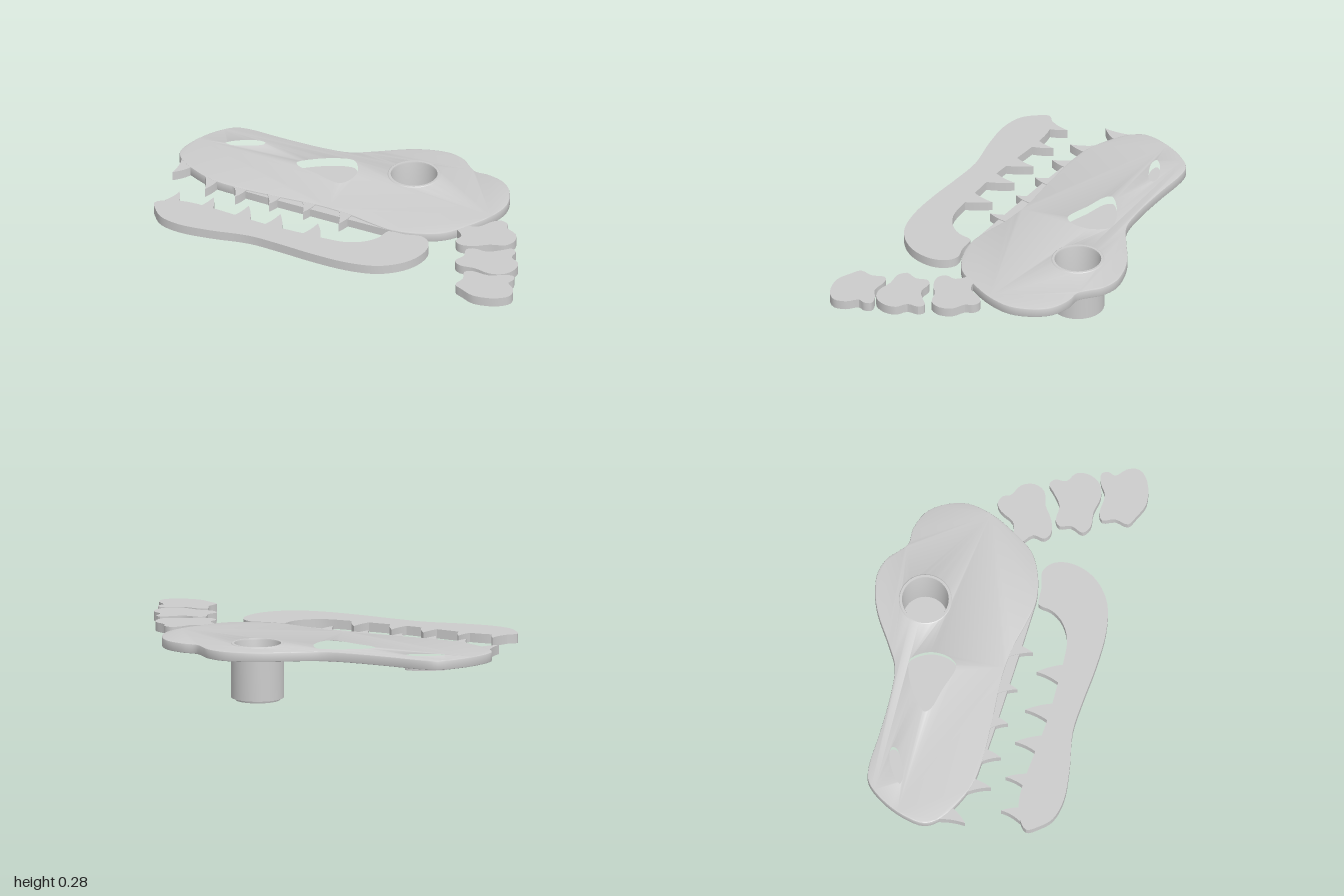
import * as THREE from 'three';
import { toCreasedNormals } from 'three/addons/utils/BufferGeometryUtils.js';

const BOTTOM = 0.225, TOP = 0.27;
const material = new THREE.MeshStandardMaterial({ color: 0xcccccc });
const hollowMaterial = new THREE.MeshStandardMaterial({ color: 0xcccccc, side: THREE.DoubleSide });

// Plan outlines are lists of [x, z]; shapes are drawn with y = -z.
const toVec = ([x, z]) => new THREE.Vector2(x, -z);

function smoothOutline(points, divisions = 4) {
  const curve = new THREE.CatmullRomCurve3(
    points.map(([x, z]) => new THREE.Vector3(x, -z, 0)), true, 'centripetal');
  const pts = curve.getPoints(points.length * divisions).slice(0, -1);
  return pts.map((p) => new THREE.Vector2(p.x, p.y));
}

// Upright slab cut from a plan shape
function slab(name, shape, y0 = BOTTOM, y1 = TOP, bevel = 0) {
  let g = new THREE.ExtrudeGeometry(shape, {
    depth: y1 - y0 - 2 * bevel, curveSegments: 8, bevelEnabled: bevel > 0,
    bevelThickness: bevel, bevelSize: bevel, bevelOffset: -bevel, bevelSegments: 2,
  });
  g.rotateX(-Math.PI / 2);
  g.translate(0, y0 + bevel, 0);
  g = toCreasedNormals(g, 0.5);
  const mesh = new THREE.Mesh(g, material);
  mesh.name = name;
  return mesh;
}

// Hooked tooth: base from a to b, one convex and one concave side
function tooth(name, a, b, tip, lean) {
  const A = toVec(a), B = toVec(b), T = toVec(tip);
  const bend = (P) => P.clone().lerp(T, 0.5).add(new THREE.Vector2(-lean * 0.014, 0));
  const s = new THREE.Shape();
  s.moveTo(A.x, A.y);
  let c = bend(A);
  s.quadraticCurveTo(c.x, c.y, T.x, T.y);
  c = bend(B);
  s.quadraticCurveTo(c.x, c.y, B.x, B.y);
  s.closePath();
  return slab(name, s);
}

const skullOutline = [
  [-1, -.05], [-.985, -.16], [-.93, -.28], [-.86, -.36], [-.79, -.378], [-.61, -.37], [-.4, -.368],
  [-.26, -.385], [-.16, -.44], [-.02, -.53], [.08, -.57], [.18, -.583], [.265, -.555], [.31, -.515],
  [.36, -.477], [.435, -.475], [.53, -.44], [.59, -.37], [.628, -.255], [.605, -.13], [.54, 0],
  [.47, .1], [.365, .16], [.23, .188], [.11, .17], [-.02, .14], [-.18, .125], [-.4, .135],
  [-.61, .14], [-.75, .125], [-.88, .07], [-.96, .015],
];
const nostrilOutline = [
  [-.84, -.21], [-.825, -.235], [-.77, -.275], [-.7, -.303], [-.66, -.298], [-.66, -.27],
  [-.72, -.23], [-.8, -.2],
];
const cheekOutline = [
  [-.455, -.19], [-.435, -.22], [-.32, -.3], [-.225, -.33], [-.195, -.32], [-.145, -.24],
  [-.145, -.15], [-.175, -.1], [-.21, -.095], [-.32, -.13], [-.43, -.16],
];
const jawOutline = [
  [-.91, .43], [-.85, .38], [-.77, .36], [-.66, .36], [-.5, .375], [-.34, .39], [-.18, .392],
  [-.02, .39], [.08, .378], [.16, .33], [.2, .27], [.21, .215], [.22, .2], [.3, .195], [.38, .178],
  [.43, .21], [.455, .28], [.44, .375], [.39, .455], [.3, .52], [.16, .55], [-.02, .548],
  [-.21, .53], [-.37, .522], [-.56, .555], [-.72, .567], [-.825, .54], [-.88, .485],
];
const vertebrae = [
  [[.5, .04], [.52, .005], [.59, -.02], [.63, -.09], [.665, -.115], [.705, -.1], [.72, -.065],
    [.78, -.03], [.803, .03], [.78, .085], [.71, .11], [.645, .155], [.58, .17], [.545, .145], [.55, .09]],
  [[.625, .2], [.65, .175], [.725, .175], [.785, .13], [.82, .1], [.85, .12], [.855, .175],
    [.905, .21], [.915, .27], [.885, .33], [.82, .355], [.735, .34], [.66, .345], [.62, .315], [.64, .255]],
  [[.705, .39], [.735, .368], [.83, .372], [.885, .338], [.935, .328], [.95, .36], [.94, .395],
    [.985, .44], [.998, .5], [.95, .55], [.84, .575], [.765, .545], [.715, .515], [.725, .45]],
];
const gumOutline = [[-.75, .1], [-.61, .147], [-.4, .16], [-.02, .178], [.23, .188], [.1, .1]];

export function createModel() {
  const model = new THREE.Group();
  model.name = 'dinosaurSkull';

  // Skull plate with openings for nostril, cheek and eye
  const eye = { x: 0.105, z: -0.328 };
  const skull = new THREE.Shape(smoothOutline(skullOutline));
  const nostril = smoothOutline(nostrilOutline), cheek = smoothOutline(cheekOutline);
  skull.holes.push(new THREE.Path(nostril), new THREE.Path(cheek));
  const eyeHole = new THREE.Path();
  eyeHole.absarc(eye.x, -eye.z, 0.122, 0, Math.PI * 2, true);
  skull.holes.push(new THREE.Path(eyeHole.getPoints(24)));
  model.add(slab('skull', skull, BOTTOM, 0.272, 0.005));

  // Recess floors
  model.add(slab('nostrilFloor', new THREE.Shape(nostril), 0.2, BOTTOM + 0.001));
  model.add(slab('cheekFloor', new THREE.Shape(cheek), 0.212, BOTTOM + 0.001));

  // Deep eye cup with a slightly raised rim
  const profile = [[0, 0], [.107, 0], [.11, .01], [.127, .012], [.127, .272], [.123, .275],
    [.112, .275], [.11, .268], [.107, .012], [0, .012]].map(([r, y]) => new THREE.Vector2(r, y));
  const cup = new THREE.Mesh(
    toCreasedNormals(new THREE.LatheGeometry(profile, 48), 0.5), hollowMaterial);
  cup.name = 'eyeSocket';
  cup.position.set(eye.x, 0, eye.z);
  model.add(cup);

  // Upper gum strip and teeth
  model.add(slab('upperGum', new THREE.Shape(gumOutline.map(toVec)), BOTTOM + 0.002, TOP - 0.004));
  const upper = new THREE.Group();
  upper.name = 'upperTeeth';
  upper.add(tooth('frontTooth', [-.965, 0], [-.89, .06], [-.95, .14], -1));
  [[-.8, .1, .215], [-.64, .12, .222], [-.465, .12, .212], [-.285, .11, .212], [-.085, .12, .238]]
    .forEach(([x, z, tip], i) =>
      upper.add(tooth(`upperTooth${i + 1}`, [x, z], [x + .08, z], [x + .056, tip], -1)));
  model.add(upper);

  // Lower jaw and teeth
  model.add(slab('lowerJaw', new THREE.Shape(smoothOutline(jawOutline))));
  const lower = new THREE.Group();
  lower.name = 'lowerTeeth';
  [[-.875, .39, .29, .07], [-.705, .38, .268, .075], [-.52, .39, .268, .095],
    [-.35, .4, .273, .095], [-.15, .4, .278, .1]]
    .forEach(([x, z, tip, w], i) =>
      lower.add(tooth(`lowerTooth${i + 1}`, [x, z], [x + w, z], [x + .03, tip], -1)));
  model.add(lower);

  // Neck bones
  const neck = new THREE.Group();
  neck.name = 'neck';
  vertebrae.forEach((v, i) =>
    neck.add(slab(`vertebra${i + 1}`, new THREE.Shape(smoothOutline(v, 3)))));
  model.add(neck);

  return model;
}
